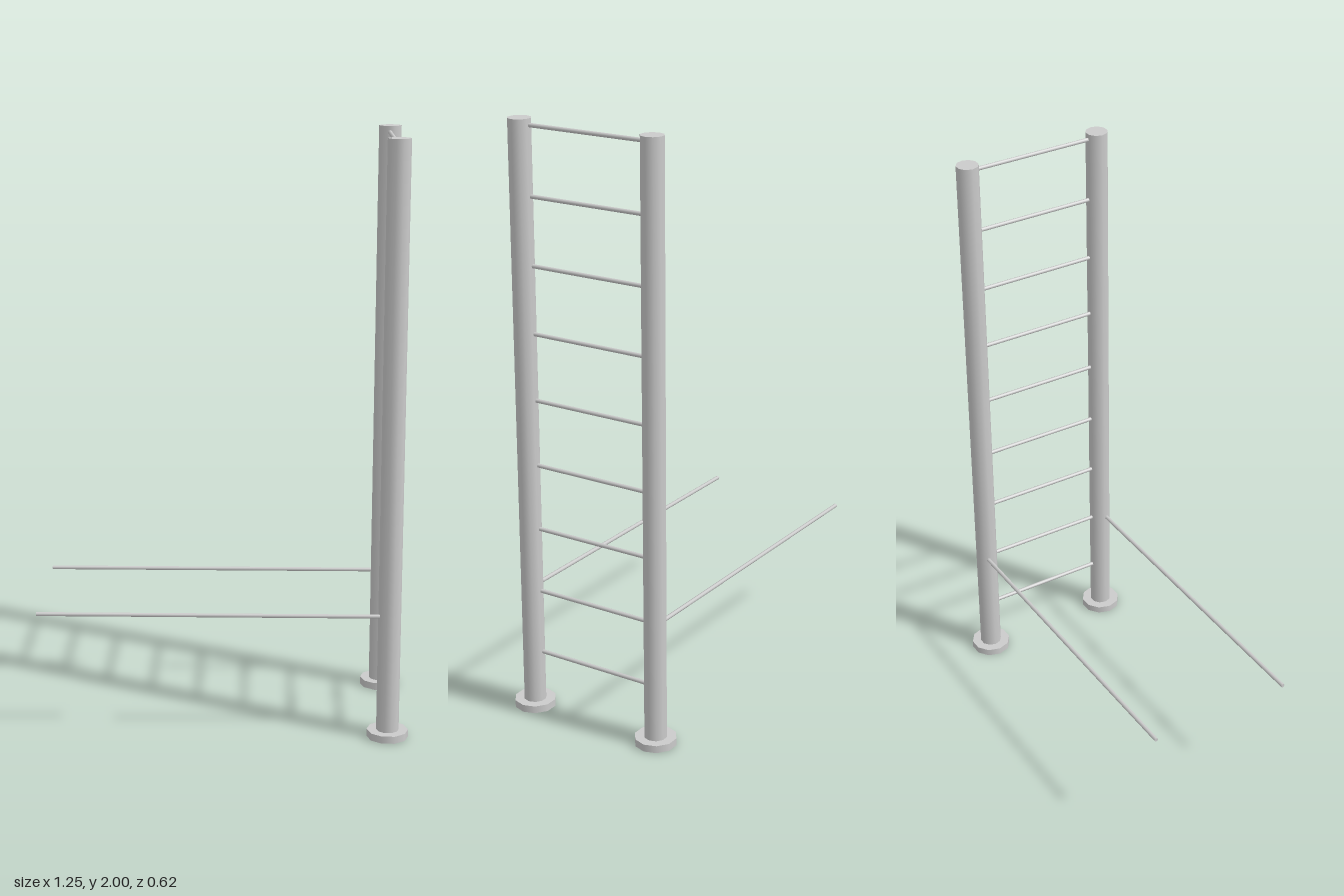
import * as THREE from 'three';

const material = new THREE.MeshStandardMaterial({ color: 0xcccccc });

// Cylinder standing upright, with corners of its outline on the x axis
function rod(name, radius, length, sides) {
  const geometry = new THREE.CylinderGeometry(radius, radius, length, sides);
  geometry.rotateY(Math.PI / 2);
  const mesh = new THREE.Mesh(geometry, material);
  mesh.name = name;
  return mesh;
}

export function createModel() {
  const model = new THREE.Group();
  model.name = 'ladderRack';
  const postX = 0.55, postZ = 0.244;
  const rodRadius = 0.007;

  for (const side of [1, -1]) {
    const label = side > 0 ? 'front' : 'back';

    // Upright post on a round foot
    const post = rod(label + 'Post', 0.038, 1.98, 10);
    post.position.set(postX, 1.01, side * postZ);
    const foot = rod(label + 'Foot', 0.07, 0.025, 10);
    foot.position.set(postX, 0.0125, side * postZ);

    // Long horizontal bar reaching out from the post
    const bar = rod(label + 'Bar', rodRadius, 1.145, 8);
    bar.rotation.z = Math.PI / 2;
    bar.position.set(-0.0525, 0.427, side * 0.254);
    model.add(post, foot, bar);
  }

  // Rungs between the posts
  for (let i = 0; i < 9; i++) {
    const rung = rod('rung' + (i + 1), rodRadius, 0.42, 8);
    rung.rotation.x = Math.PI / 2;
    rung.position.set(0.547, 0.204 + i * 0.2219, 0);
    model.add(rung);
  }
  return model;
}
